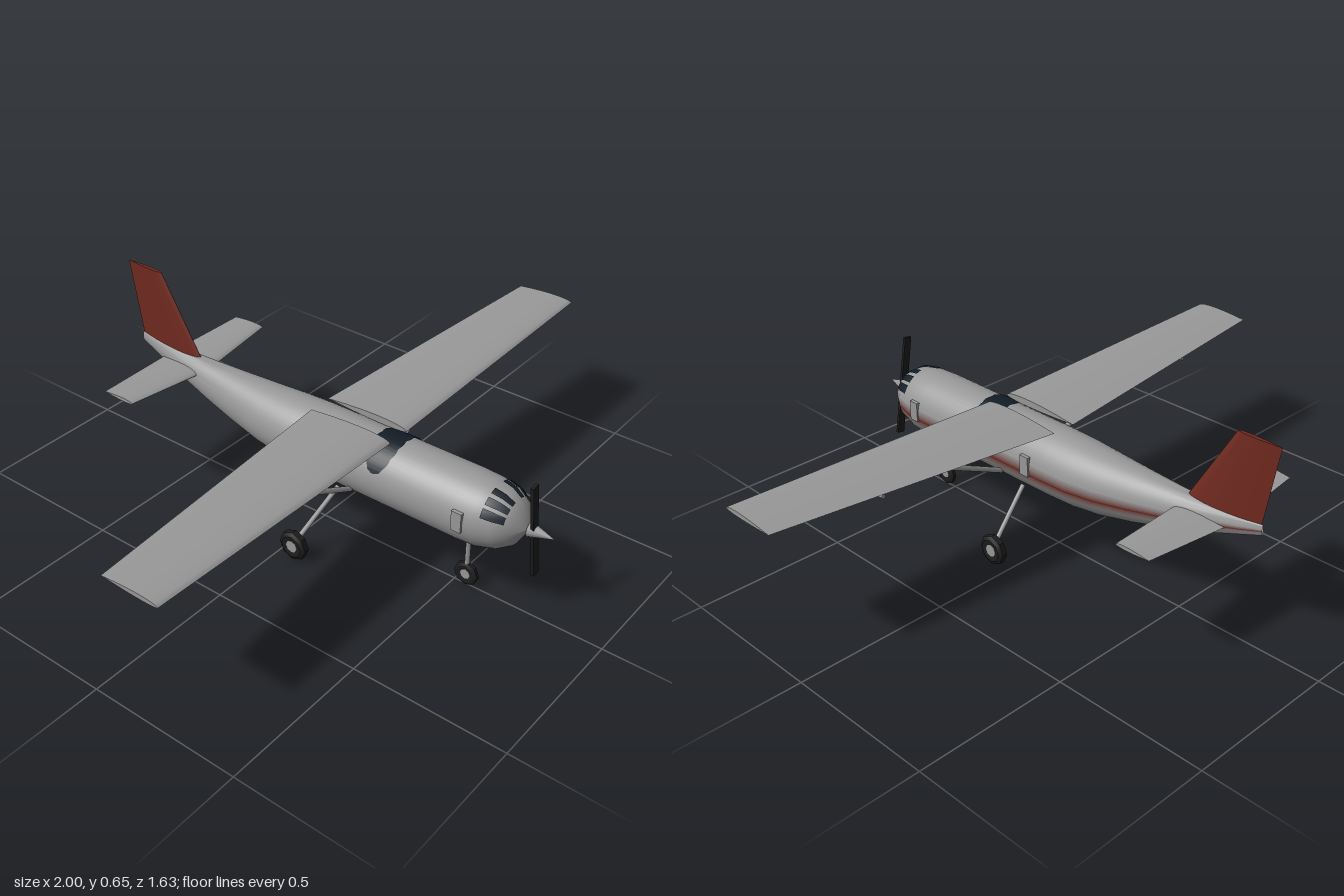
import * as THREE from 'three';
import { toCreasedNormals } from 'three/addons/utils/BufferGeometryUtils.js';

const paint = (color) => new THREE.MeshStandardMaterial({ color, side: THREE.DoubleSide });
const GREY = paint(0x989898), RED = paint(0x702a20);
const GLASS = paint(0x131d27), BLACK = paint(0x1c1c1c);
const deg = Math.PI / 180;
const V = (x, y, z) => new THREE.Vector3(x, y, z);

// Surface through a list of point rows, with optional fan caps at both ends
function loft(rows, caps = false, crease = 0.7) {
  const m = rows[0].length, n = rows.length, index = [];
  for (let i = 0; i < n - 1; i++) {
    for (let j = 0; j < m - 1; j++) {
      const a = i * m + j, c = a + m;
      index.push(a, a + 1, c, a + 1, c + 1, c);
    }
  }
  if (caps) {
    const e = (n - 1) * m;
    for (let j = 1; j < m - 2; j++) index.push(0, j + 1, j, e, e + j, e + j + 1);
  }
  const g = new THREE.BufferGeometry().setFromPoints(rows.flat());
  g.setIndex(index);
  return toCreasedNormals(g, crease);
}

// Fuselage stations: z, top, bottom, half width
const HULL = [
  [0.735, 0.302, 0.298, 0.002], [0.70, 0.37, 0.235, 0.068], [0.66, 0.395, 0.208, 0.093],
  [0.60, 0.408, 0.19, 0.106], [0.54, 0.41, 0.187, 0.11], [-0.02, 0.41, 0.187, 0.108],
  [-0.12, 0.407, 0.19, 0.104], [-0.22, 0.403, 0.202, 0.093], [-0.34, 0.40, 0.228, 0.075],
  [-0.46, 0.398, 0.26, 0.056], [-0.58, 0.398, 0.298, 0.036], [-0.70, 0.40, 0.342, 0.017],
  [-0.775, 0.403, 0.37, 0.003],
];

// Point on the fuselage at station z, angle a (degrees from the top, + toward +x)
function hullPoint(z, a, off = 0) {
  let i = 0;
  while (i < HULL.length - 2 && z < HULL[i + 1][0]) i++;
  const p = HULL[i], q = HULL[i + 1], t = (z - p[0]) / (q[0] - p[0]);
  const [top, bot, w] = [1, 2, 3].map((k) => THREE.MathUtils.lerp(p[k], q[k], t));
  return V((w + off) * Math.sin(a * deg), (top + bot) / 2 + ((top - bot) / 2 + off) * Math.cos(a * deg), z);
}

// Grid over the fuselage between two angles
function hullPatch(zs, a0, a1, steps, off = 0) {
  return loft(zs.map((z) => Array.from({ length: steps + 1 },
    (_, j) => hullPoint(z, a0 + (a1 - a0) * j / steps, off))));
}

// Airfoil surface along x; each section is x, y, leading z, trailing z, half thickness
function foil(sections, belly = 0.6, n = 8) {
  const h = (c) => 2.5 * Math.sqrt(c) * (1 - c) * (1.05 - 0.1 * c);
  return loft(sections.map(([x, y, lead, trail, t]) => {
    const row = [];
    for (let k = 0; k <= 2 * n; k++) {
      const s = Math.abs(1 - k / n), c = s * s;
      row.push(V(x, y + h(c) * t * (k < n ? 1 : -belly), lead + (trail - lead) * c));
    }
    return row;
  }), true);
}

export function createModel() {
  const model = new THREE.Group();
  const add = (name, geometry, material = GREY, parent = model) => {
    const mesh = new THREE.Mesh(geometry, material);
    mesh.name = name;
    parent.add(mesh);
    return mesh;
  };
  const rod = (name, a, b, r) => {
    const mesh = add(name, new THREE.CylinderGeometry(r, r, a.distanceTo(b), 8));
    mesh.position.copy(a).lerp(b, 0.5);
    mesh.quaternion.setFromUnitVectors(V(0, 1, 0), b.clone().sub(a).normalize());
  };

  // Fuselage skin, leaving a gap on the +x side for the stripe
  const stations = HULL.map((r) => r[0]);
  add('fuselage', hullPatch(stations, 118, 442, 40));

  // Stripe: narrow bands fading from grey to red and back
  for (let k = 0; k < 9; k++) {
    const color = GREY.color.clone().lerp(RED.color, 1 - Math.abs(k - 4) / 5);
    add('stripe', hullPatch(stations, 82 + 4 * k, 86 + 4 * k, 1), paint(color));
  }

  // Dark glazing wrapped over the cabin below the wing, with a scalloped edge
  const arc = [];
  for (let i = 0; i <= 6; i++) {
    arc.push(Array.from({ length: 49 }, (_, j) => {
      const a = -70 + 140 * j / 48;
      const half = 0.043 * Math.sqrt(Math.max(0, 1 - Math.abs(a / 70) ** 3))
        + 0.004 * Math.abs(Math.sin(a * 9 * deg));
      return hullPoint(0.26 + half * (1 - i / 3), a, 0.003);
    }));
  }
  add('cabinGlazing', loft(arc), GLASS);

  // Nose windows
  for (const s of [1, -1]) {
    for (const [a, w] of [[17, 6], [37, 7], [58, 8]]) {
      add('noseWindow', hullPatch([0.69, 0.66, 0.625], s * a - w, s * a + w, 3, 0.004), GLASS);
    }
  }

  // Wings, in order of rising x
  const root = [0.04, 0.415, 0.275, -0.02, 0.015], tip = [1, 0.441, 0.275, 0.075, 0.01];
  const flip = ([x, ...rest]) => [-x, ...rest];
  add('leftWing', foil([root, tip]));
  add('rightWing', foil([flip(tip), flip(root)]));

  // Tailplane
  const tailTip = [0.31, 0.37, -0.52, -0.64, 0.007];
  add('tailplane', foil([flip(tailTip), [0, 0.356, -0.49, -0.665, 0.013], tailTip], 0.8));

  // Fin, built along x and stood upright
  const fin = foil([[0.372, 0, -0.5, -0.765, 0.013], [0.655, 0, -0.67, -0.815, 0.007]], 1);
  add('fin', fin.rotateZ(Math.PI / 2), RED);

  // Parts on both sides
  for (const s of [1, -1]) {
    rod('wingStrut', V(s * 0.09, 0.233, 0.168), V(s * 0.47, 0.41, 0.15), 0.009);
    for (const x of [0.28, 0.45, 0.64]) {
      const y = 0.402 + x * 0.024;
      rod('flapFairing', V(s * x, y, 0.16), V(s * x, y, 0.05), 0.007);
    }
    for (const z of [0.56, 0.04]) {
      add('sidePanel', new THREE.BoxGeometry(0.012, 0.066, 0.034)).position.set(s * 0.108, 0.308, z);
    }
    rod('mainGearLeg', V(s * 0.06, 0.195, 0.1), V(s * 0.225, 0.06, 0.062), 0.008);
  }
  rod('noseGearLeg', V(0, 0.2, 0.54), V(0, 0.05, 0.54), 0.008);

  // Wheels: chunky eight-sided tyre and a plain hub
  const wheel = (name, x, z, r, w) => {
    const group = new THREE.Group();
    group.name = name;
    const profile = [[0.4, -0.4], [0.75, -0.5], [1, -0.28], [1, 0.28], [0.75, 0.5], [0.4, 0.4]]
      .map(([pr, py]) => new THREE.Vector2(pr * r, py * w));
    const tyre = new THREE.LatheGeometry(profile, 8).rotateZ(Math.PI / 2);
    add('tyre', toCreasedNormals(tyre, 0.5), BLACK, group);
    add('hub', new THREE.CylinderGeometry(r * 0.42, r * 0.42, w * 0.9, 8).rotateZ(Math.PI / 2), GREY, group);
    group.position.set(x, r, z);
    model.add(group);
  };
  wheel('leftWheel', 0.226, 0.06, 0.05, 0.032);
  wheel('rightWheel', -0.226, 0.06, 0.05, 0.032);
  wheel('noseWheel', 0, 0.54, 0.041, 0.02);

  // Propeller and spinner
  const blade = add('propeller', new THREE.BoxGeometry(0.026, 0.345, 0.01), BLACK);
  blade.position.set(0, 0.3, 0.75);
  blade.rotation.z = 0.16;
  const spinner = add('spinner', new THREE.ConeGeometry(0.024, 0.08, 12).rotateX(Math.PI / 2));
  spinner.position.set(0, 0.3, 0.775);

  return model;
}
